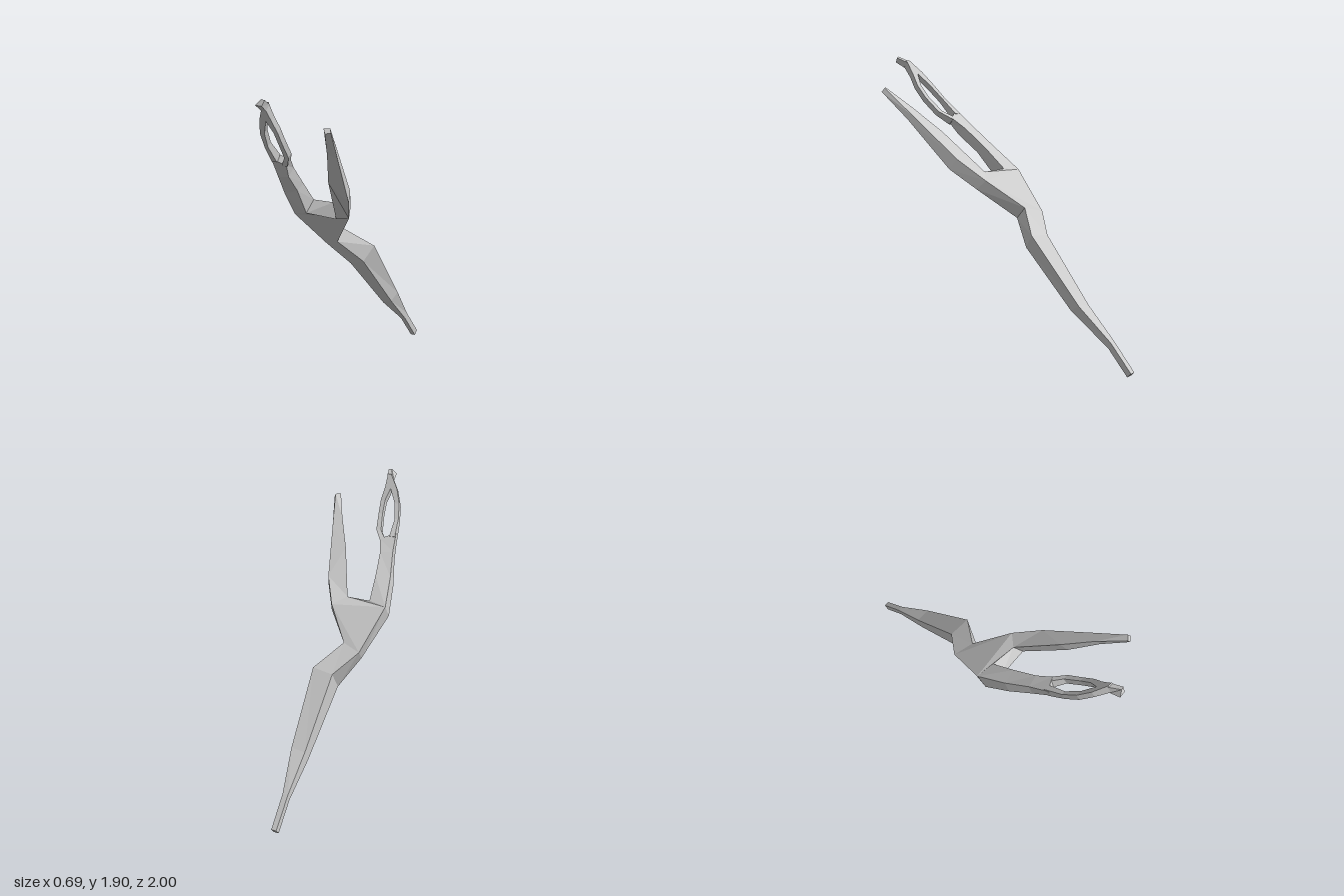
import * as THREE from 'three';

const material = new THREE.MeshStandardMaterial({ color: 0xcccccc, flatShading: true, side: THREE.DoubleSide });

// Lofts a faceted bar through four-cornered sections, ordered
// back -x, back +x, front +x, front -x, running upwards.
function loft(name, sections) {
  const pos = [];
  const quad = (a, b, c, d) => pos.push(...a, ...b, ...c, ...a, ...c, ...d);
  for (let s = 0; s < sections.length - 1; s++) {
    const a = sections[s], b = sections[s + 1];
    for (let i = 0; i < 4; i++) {
      const j = (i + 1) % 4;
      quad(a[i], b[i], b[j], a[j]);
    }
  }
  quad(...sections[0]);
  quad(...[...sections[sections.length - 1]].reverse());
  const geo = new THREE.BufferGeometry();
  geo.setAttribute('position', new THREE.Float32BufferAttribute(pos, 3));
  geo.computeVertexNormals();
  const mesh = new THREE.Mesh(geo, material);
  mesh.name = name;
  return mesh;
}

// Section of a thin strand: x range, centre height and depth, half thickness
function thin([x0, x1, y, z, t = 0.014]) {
  return [[x0, y + t, z - t], [x1, y + t, z - t], [x1, y - t, z + t], [x0, y - t, z + t]];
}

export function createModel() {
  const group = new THREE.Group();
  group.name = 'forkedBranch';

  // Sections shared where the parts meet
  const hip = [[-0.18, 0.8, -0.26], [-0.035, 0.82, -0.25], [-0.07, 0.72, -0.17], [-0.18, 0.69, -0.18]];
  const waist = [[-0.295, 0.92, -0.11], [-0.165, 0.955, -0.07], [-0.165, 0.875, 0], [-0.27, 0.85, -0.02]];
  const wide = [[-0.35, 1.16, 0.16], [0.02, 1.14, 0.11], [0.05, 1.08, 0.17], [-0.345, 1.08, 0.23]];
  const crotch = [[-0.225, 1.18, 0.18], [-0.055, 1.18, 0.195], [-0.005, 1.08, 0.235], [-0.23, 1.1, 0.255]];

  // Tapering lower stem
  group.add(loft('lowerStem', [
    [[-0.185, 0.03, -1], [-0.15, 0.03, -1], [-0.15, 0, -0.97], [-0.185, 0, -0.97]],
    [[-0.178, 0.2, -0.84], [-0.14, 0.2, -0.84], [-0.14, 0.16, -0.82], [-0.178, 0.16, -0.82]],
    [[-0.177, 0.4, -0.62], [-0.08, 0.41, -0.62], [-0.09, 0.36, -0.55], [-0.177, 0.33, -0.58]],
    hip, waist,
  ]));

  // Broad middle, ending in the wall between the two branches
  group.add(loft('fork', [waist, wide, crotch]));

  // Left branch
  group.add(loft('leftBranch', [
    [crotch[1], wide[1], wide[2], crotch[2]],
    [[0.09, 1.44, 0.45], [0.13, 1.28, 0.27], [0.155, 1.21, 0.32], [0.12, 1.36, 0.49]],
    [[0.205, 1.6, 0.62], [0.25, 1.55, 0.56], [0.27, 1.53, 0.6], [0.225, 1.56, 0.645]],
    [[0.3, 1.73, 0.78], [0.33, 1.73, 0.755], [0.345, 1.705, 0.77], [0.315, 1.7, 0.79]],
  ]));

  // Right branch up to its eyelet
  group.add(loft('rightBranch', [
    [wide[0], crotch[0], crotch[3], wide[3]],
    [[-0.295, 1.31, 0.35], [-0.195, 1.31, 0.33], [-0.19, 1.27, 0.4], [-0.3, 1.24, 0.39]],
    [[-0.24, 1.44, 0.5], [-0.155, 1.43, 0.48], [-0.15, 1.38, 0.54], [-0.24, 1.37, 0.53]],
    [[-0.207, 1.54, 0.62], [-0.11, 1.5, 0.57], [-0.12, 1.46, 0.6], [-0.207, 1.5, 0.64]],
  ]));

  // Two strands around the eyelet and the tip where they rejoin
  group.add(loft('eyeletOuterStrand', [
    [-0.21, -0.17, 1.5, 0.61, 0.02], [-0.182, -0.155, 1.6, 0.72], [-0.15, -0.115, 1.69, 0.8],
    [-0.1, -0.05, 1.78, 0.865], [-0.03, 0, 1.86, 0.925, 0.018],
  ].map(thin)));
  group.add(loft('eyeletInnerStrand', [
    [-0.16, -0.115, 1.47, 0.58, 0.02], [-0.085, -0.05, 1.53, 0.65], [-0.05, -0.02, 1.62, 0.745],
    [-0.037, -0.005, 1.7, 0.81], [-0.055, -0.01, 1.78, 0.865], [-0.03, -0.005, 1.86, 0.925, 0.018],
  ].map(thin)));
  group.add(loft('rightBranchTip', [
    thin([-0.04, -0.005, 1.845, 0.915, 0.018]),
    [[0, 1.9, 0.98], [0.022, 1.895, 0.975], [0.015, 1.86, 0.995], [-0.03, 1.865, 1]],
  ]));

  return group;
}
